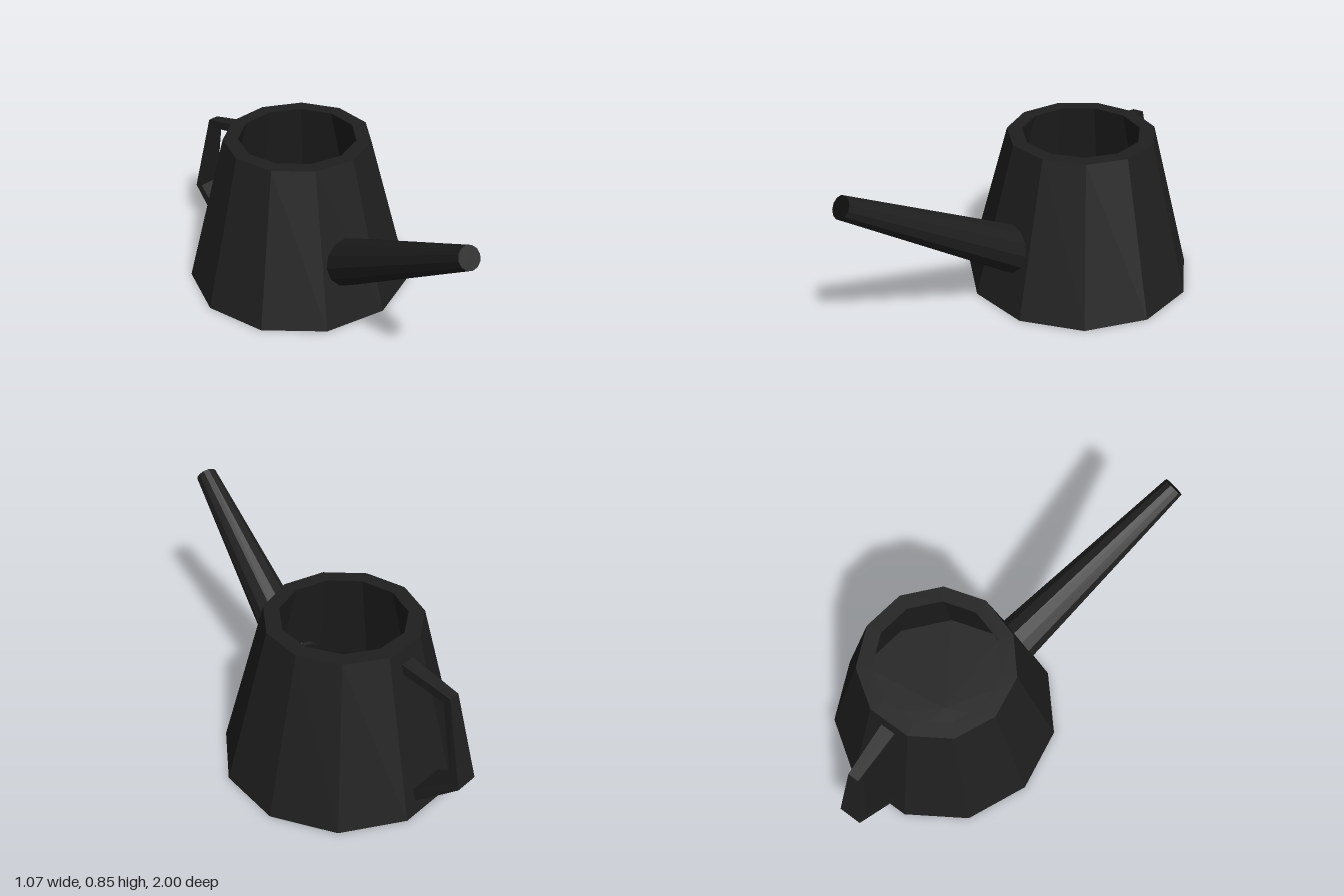
import * as THREE from 'three';

const CENTRE_Z = -0.322;
const SIDES = 11;
const dark = (color, side = THREE.FrontSide) =>
  new THREE.MeshStandardMaterial({ color, side, flatShading: true });

function part(name, geometry, material) {
  const mesh = new THREE.Mesh(geometry, material);
  mesh.name = name;
  return mesh;
}

// Four-sided bar swept through stations of [outer r, outer y, inner r, inner y, half width]
function barGeometry(stations) {
  const positions = [], index = [];
  for (const [ro, yo, ri, yi, w] of stations) {
    positions.push(-w, yo, ro, w, yo, ro, w, yi, ri, -w, yi, ri);
  }
  for (let s = 0; s < stations.length - 1; s++) {
    for (let k = 0; k < 4; k++) {
      const a = s * 4 + k, b = s * 4 + (k + 1) % 4;
      index.push(a, a + 4, b, b, a + 4, b + 4);
    }
  }
  const geometry = new THREE.BufferGeometry();
  geometry.setAttribute('position', new THREE.Float32BufferAttribute(positions, 3));
  geometry.setIndex(index);
  geometry.computeVertexNormals();
  return geometry;
}

export function createModel() {
  const group = new THREE.Group();
  const material = dark(0x1f1f1f);

  // Hollow tapered body with a flat rim
  const profile = [[0, 0], [0.538, 0], [0.345, 0.735], [0.275, 0.735], [0.455, 0.05], [0, 0.05]]
    .map(([r, y]) => new THREE.Vector2(r, y));
  const body = part('body', new THREE.LatheGeometry(profile, SIDES, Math.PI), material);
  body.position.z = CENTRE_Z;
  group.add(body);

  // Long tapered spout, its root sunk into the body wall
  const root = new THREE.Vector3(0, 0.264, 0.077);
  const tip = new THREE.Vector3(0, 0.81, 0.976);
  const length = root.distanceTo(tip);
  const spout = new THREE.Group();
  spout.name = 'spout';
  spout.position.copy(root).lerp(tip, 0.5);
  spout.rotation.x = Math.atan2(tip.z - root.z, tip.y - root.y);
  spout.add(part('spoutTube', new THREE.CylinderGeometry(0.05, 0.113, length, 12, 1, true), material));

  // Dark mouth closing the spout
  const mouth = part('spoutMouth', new THREE.CircleGeometry(0.05, 12), dark(0x101010));
  mouth.rotation.x = -Math.PI / 2;
  mouth.position.y = length / 2;
  spout.add(mouth);
  group.add(spout);

  // Angular handle standing square on one rear facet, widening towards the bottom
  const handle = part('handle', barGeometry([
    [0.32, 0.681, 0.32, 0.638, 0.036],
    [0.588, 0.624, 0.557, 0.59, 0.026],
    [0.69, 0.223, 0.648, 0.235, 0.055],
    [0.47, 0.032, 0.47, 0.104, 0.09],
  ]), dark(0x1f1f1f, THREE.DoubleSide));
  handle.position.z = CENTRE_Z;
  handle.rotation.y = Math.PI + Math.PI / SIDES;
  group.add(handle);

  return group;
}
